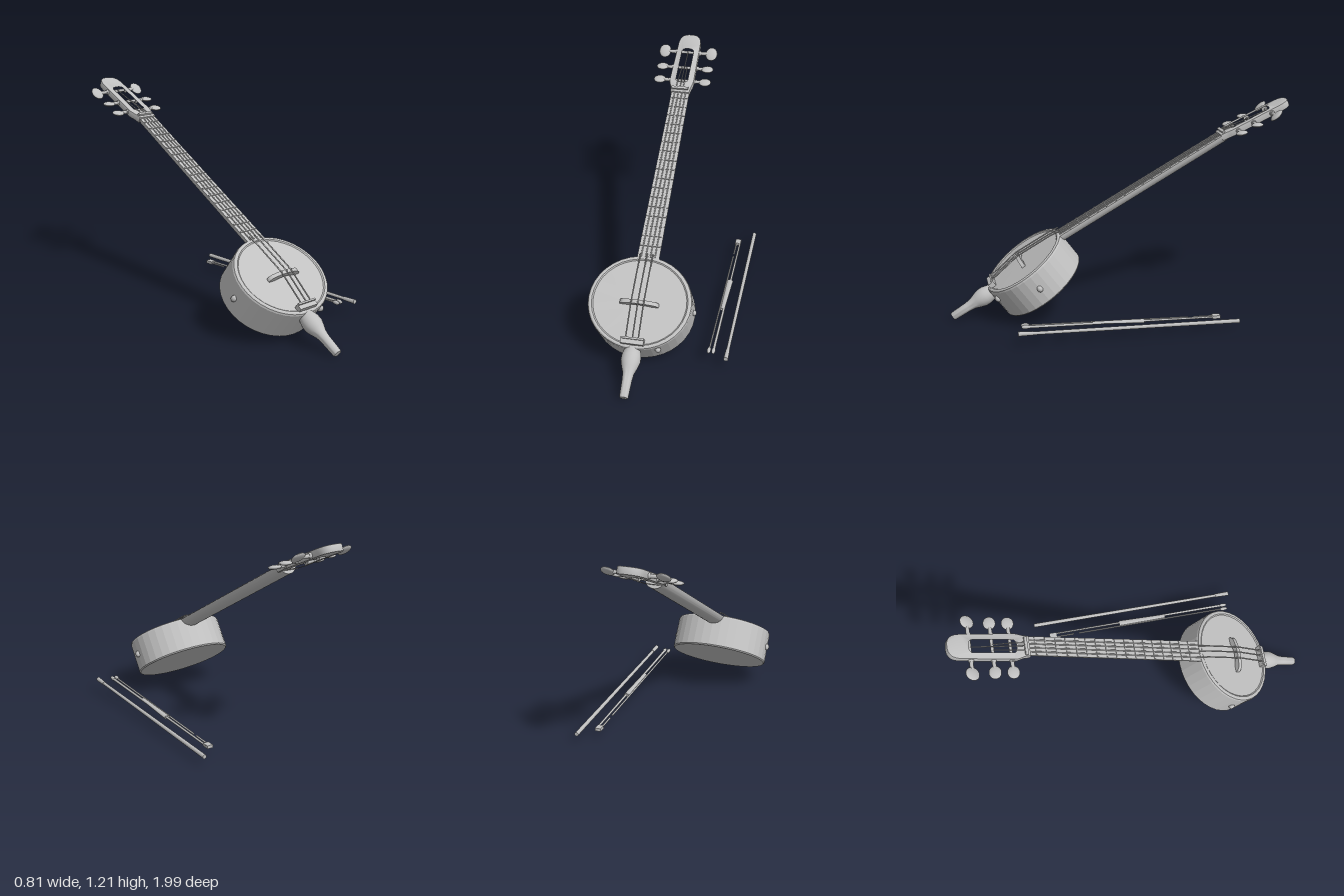
import * as THREE from 'three';
import { toCreasedNormals } from 'three/addons/utils/BufferGeometryUtils.js';

const V = (x, y, z) => new THREE.Vector3(x, y, z);

export function createModel() {
  const model = new THREE.Group();
  model.name = 'banjoWithBow';
  const grey = new THREE.MeshStandardMaterial({ color: 0xc0c0c0 });
  grey.name = 'plain grey';

  const add = (parent, name, geometry, x = 0, y = 0, z = 0) => {
    const mesh = new THREE.Mesh(geometry, grey);
    mesh.name = name;
    mesh.position.set(x, y, z);
    parent.add(mesh);
    return mesh;
  };
  // Inclined frame: local y runs up the instrument, local z leaves its playing face
  const frame = (name, degrees, x, y, z) => {
    const group = new THREE.Group();
    group.name = name;
    group.position.set(x, y, z);
    group.rotation.x = THREE.MathUtils.degToRad(degrees - 90);
    model.add(group);
    return group;
  };
  // Round bar between two points
  const rod = (parent, name, a, b, r1, r2 = r1, sides = 8) => {
    const d = b.clone().sub(a);
    const mesh = add(parent, name, new THREE.CylinderGeometry(r2, r1, d.length(), sides));
    mesh.position.copy(a).addScaledVector(d, 0.5);
    mesh.quaternion.setFromUnitVectors(V(0, 1, 0), d.normalize());
    return mesh;
  };
  const lathe = (pairs, sides) =>
    new THREE.LatheGeometry(pairs.map(([r, y]) => new THREE.Vector2(r, y)), sides);

  // Drum body with a raised rim
  const drum = frame('drum', 36, -0.105, 0.3415, 0.57);
  const body = lathe([[0, -0.195], [0.281, -0.195], [0.287, -0.188], [0.287, -0.014],
    [0.283, -0.004], [0.275, 0], [0.264, 0], [0.257, -0.005], [0, -0.003]], 36);
  body.rotateX(Math.PI / 2);
  body.scale(1, 0.915, 1);
  add(drum, 'drumBody', toCreasedNormals(body, 0.15));

  // Side studs
  for (const [x, y, z] of [[-0.288, 0, -0.1], [0.288, 0, -0.1], [0.133, -0.236, -0.05]]) {
    const stud = add(drum, 'sideStud', new THREE.SphereGeometry(0.02, 14, 10), x, y, z);
    stud.scale.set(0.8, 0.8, 1);
  }

  // Arched bridge
  const bridge = new THREE.Shape();
  bridge.moveTo(-0.108, 0);
  bridge.quadraticCurveTo(-0.108, 0.02, -0.085, 0.032);
  bridge.quadraticCurveTo(0, 0.058, 0.085, 0.032);
  bridge.quadraticCurveTo(0.108, 0.02, 0.108, 0);
  bridge.lineTo(0.07, 0);
  bridge.quadraticCurveTo(0, 0.032, -0.07, 0);
  const bridgeGeometry = new THREE.ExtrudeGeometry(bridge, { depth: 0.022, bevelEnabled: false, curveSegments: 10 });
  bridgeGeometry.rotateX(Math.PI / 2);
  add(drum, 'bridge', toCreasedNormals(bridgeGeometry, 0.6), 0, 0, -0.004);

  // Tailpiece and the strings crossing the bridge
  add(drum, 'tailpiece', new THREE.BoxGeometry(0.125, 0.035, 0.03), 0, -0.222, 0.008);
  add(drum, 'tailpieceLip', new THREE.BoxGeometry(0.125, 0.01, 0.012), 0, -0.21, 0.026);
  for (const x of [-0.037, 0, 0.032]) {
    const path = [V(x, -0.215, 0.025), V(x, -0.01, 0.046), V(x, 0.21, 0.022), V(x, 0.27, 0.01)];
    for (let i = 0; i < 3; i++) rod(drum, 'bodyString', path[i], path[i + 1], 0.004, 0.004, 6);
  }

  // Turned foot spike
  const foot = frame('foot', 31, -0.105, 0.022, 0.982);
  add(foot, 'footSpike', toCreasedNormals(lathe([[0, 0], [0.021, 0], [0.024, 0.006], [0.027, 0.1],
    [0.031, 0.135], [0.044, 0.17], [0.053, 0.2], [0.053, 0.23], [0.045, 0.26], [0.03, 0.3], [0, 0.31]], 24), 0.7));

  // Neck with a flat fingerboard, rounded back and slight taper
  const neck = frame('neck', 29.5, -0.099, 0.488, 0.36);
  const section = new THREE.Shape();
  section.moveTo(0.062, 0);
  section.absellipse(0, 0, 0.062, 0.052, 0, Math.PI, false);
  section.closePath();
  const neckGeometry = new THREE.ExtrudeGeometry(section, { depth: 1.13, bevelEnabled: false, curveSegments: 16 });
  neckGeometry.rotateX(-Math.PI / 2);
  const p = neckGeometry.attributes.position;
  for (let i = 0; i < p.count; i++) p.setX(i, p.getX(i) * (1 - 0.12 * p.getY(i)));
  add(neck, 'neckShaft', toCreasedNormals(neckGeometry, 0.6), 0, -0.02, 0);
  for (let i = 0; i < 17; i++) {
    const y = 0.07 + i * 0.061;
    add(neck, 'fret', new THREE.BoxGeometry(0.116 - 0.014 * y, 0.008, 0.006), 0, y, 0.001);
  }
  for (const x of [-0.04, -0.014, 0.012, 0.037]) {
    rod(neck, 'neckString', V(x, 0.0, 0.004), V(x * 0.85, 1.1, 0.004), 0.0035, 0.0035, 6);
  }

  // Slotted headstock
  const head = frame('headstock', 25, -0.105, 1.04, -0.6);
  const outline = new THREE.Shape();
  outline.moveTo(-0.05, -0.02);
  outline.bezierCurveTo(-0.052, 0.03, -0.069, 0.03, -0.069, 0.07);
  outline.lineTo(-0.064, 0.35);
  outline.bezierCurveTo(-0.062, 0.405, -0.04, 0.42, 0, 0.42);
  outline.bezierCurveTo(0.04, 0.42, 0.062, 0.405, 0.064, 0.35);
  outline.lineTo(0.069, 0.07);
  outline.bezierCurveTo(0.069, 0.03, 0.058, 0.03, 0.056, -0.02);
  const slot = new THREE.Path();
  slot.moveTo(-0.036, 0.07);
  slot.lineTo(-0.036, 0.285);
  slot.quadraticCurveTo(-0.036, 0.31, 0, 0.31);
  slot.quadraticCurveTo(0.036, 0.31, 0.036, 0.285);
  slot.lineTo(0.036, 0.07);
  slot.quadraticCurveTo(0.036, 0.05, 0, 0.05);
  slot.quadraticCurveTo(-0.036, 0.05, -0.036, 0.07);
  outline.holes.push(slot);
  const plate = new THREE.ExtrudeGeometry(outline, { depth: 0.028, bevelThickness: 0.006,
    bevelSize: 0.004, bevelSegments: 2, curveSegments: 10 });
  add(head, 'headPlate', toCreasedNormals(plate, 0.7), 0, 0, -0.034);
  add(head, 'nut', new THREE.BoxGeometry(0.1, 0.016, 0.016), 0, 0.0, 0.003);

  // Tuning pegs: cross roller, shaft and paddle knob on both sides
  const pegs = [[0.298, 18, 0.143, 0.042], [0.177, -18, 0.137, 0.033], [0.077, -12, 0.137, 0.033]];
  for (const [y, tilt, reach, size] of pegs) {
    rod(head, 'pegRoller', V(-0.05, y, -0.022), V(0.05, y, -0.022), 0.009, 0.009, 10);
    for (const side of [-1, 1]) {
      rod(head, 'pegCollar', V(side * 0.06, y, -0.022), V(side * 0.08, y, -0.022), 0.018, 0.013, 12);
      rod(head, 'pegShaft', V(side * 0.06, y, -0.022), V(side * (reach - 0.015), y, -0.022), 0.011, 0.01, 10);
      const knob = add(head, 'pegKnob', new THREE.SphereGeometry(1, 20, 12), side * reach, y, -0.022);
      knob.scale.set(0.036, size, 0.012);
      knob.rotation.x = THREE.MathUtils.degToRad(tilt);
    }
  }
  for (const [x, end] of [[-0.024, 0.177], [0, 0.298], [0.02, 0.177]]) {
    rod(head, 'headString', V(x, 0, 0.008), V(x * 0.7, end, -0.013), 0.003, 0.003, 6);
  }

  // Plain stick with a thicker near end
  const stick = new THREE.Group();
  stick.name = 'stick';
  model.add(stick);
  rod(stick, 'stickShaft', V(0.385, 0.088, 0.6), V(0.385, 0.06, -0.58), 0.009, 0.012, 10);
  rod(stick, 'stickGrip', V(0.385, 0.09, 0.66), V(0.385, 0.088, 0.58), 0.013, 0.011, 10);

  // Bow: two strands, a flat middle plate and end blocks
  const bow = new THREE.Group();
  bow.name = 'bow';
  model.add(bow);
  rod(bow, 'bowHair', V(0.286, 0.095, 0.61), V(0.287, 0.065, -0.31), 0.005, 0.005, 8);
  rod(bow, 'bowHairTip', V(0.287, 0.064, -0.34), V(0.287, 0.06, -0.47), 0.005, 0.005, 8);
  rod(bow, 'bowWood', V(0.31, 0.095, 0.61), V(0.308, 0.062, -0.47), 0.008, 0.006, 8);
  const grip = rod(bow, 'bowGrip', V(0.303, 0.085, 0.24), V(0.305, 0.073, -0.05), 0.012, 0.018, 12);
  grip.scale.z = 0.6;
  add(bow, 'bowTip', new THREE.BoxGeometry(0.034, 0.018, 0.045), 0.296, 0.061, -0.47);
  for (const x of [0.285, 0.31]) {
    add(bow, 'bowEnd', new THREE.SphereGeometry(0.012, 12, 8), x, 0.096, 0.61).scale.set(0.9, 1, 2);
  }
  return model;
}
